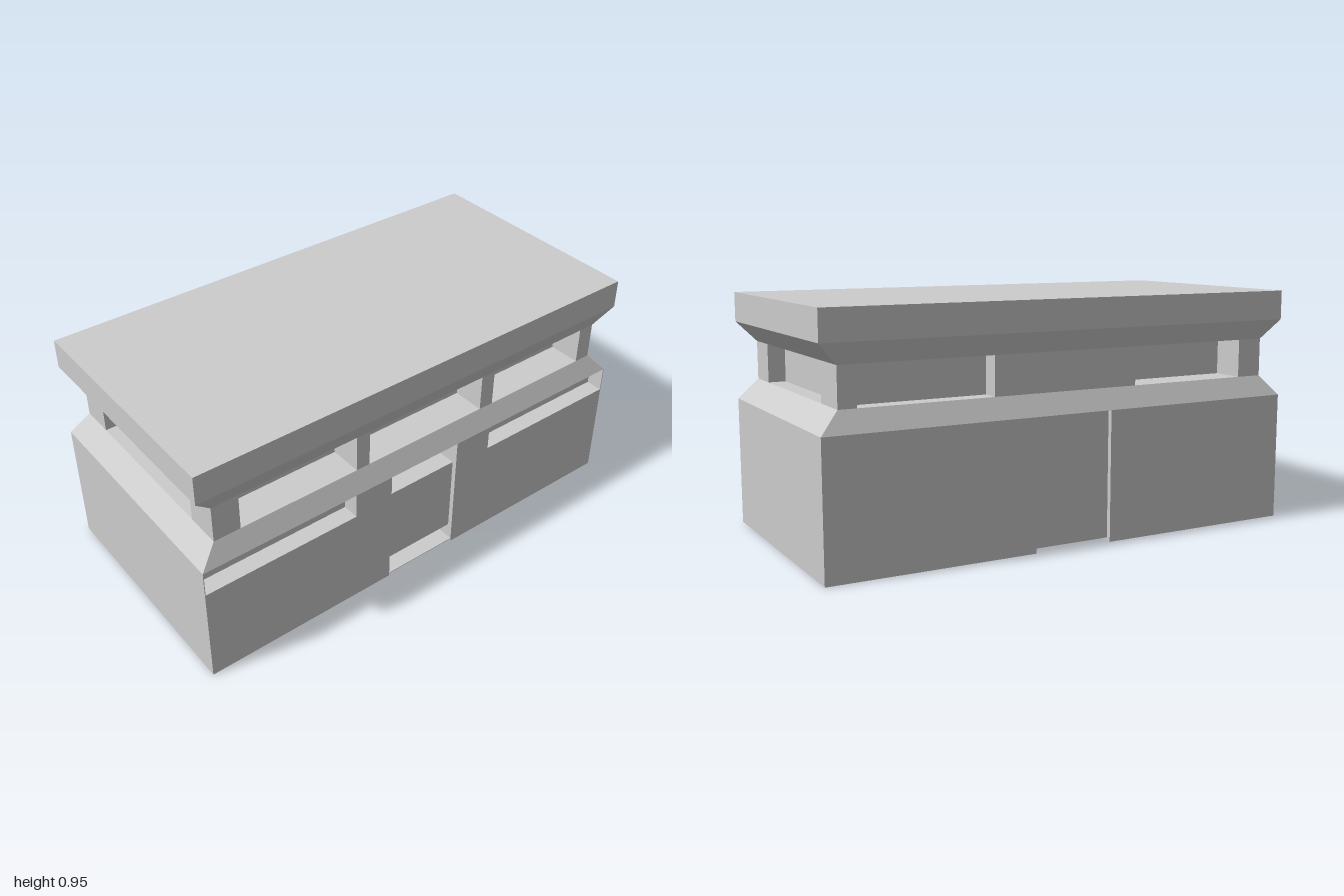
import * as THREE from 'three';

const concrete = new THREE.MeshStandardMaterial({ color: 0xcccccc });
concrete.name = 'concrete';

export function createModel() {
  const model = new THREE.Group();
  model.name = 'bunker';

  // Box between two corners
  function block(name, x0, x1, y0, y1, z0, z1) {
    const mesh = new THREE.Mesh(new THREE.BoxGeometry(x1 - x0, y1 - y0, z1 - z0), concrete);
    mesh.position.set((x0 + x1) / 2, (y0 + y1) / 2, (z0 + z1) / 2);
    mesh.name = name;
    model.add(mesh);
  }

  // Four-sided band whose half sizes differ at bottom and top
  function taper(name, y0, hx0, hz0, y1, hx1, hz1) {
    const geo = new THREE.BoxGeometry(2, 2, 2);
    const p = geo.attributes.position;
    for (let i = 0; i < p.count; i++) {
      const up = p.getY(i) > 0;
      p.setXYZ(i, p.getX(i) * (up ? hx1 : hx0), up ? y1 : y0, p.getZ(i) * (up ? hz1 : hz0));
    }
    const flat = geo.toNonIndexed();
    flat.computeVertexNormals();
    const mesh = new THREE.Mesh(flat, concrete);
    mesh.name = name;
    model.add(mesh);
  }

  const W = 0.495, L = 1, w = 0.457, l = 0.925; // outer and window-band half sizes
  const shoulder = 0.52, sill = 0.602, lintel = 0.755, eave = 0.835, top = 0.953;
  const door = 0.165, slotSill = 0.415, slotEnd = 0.335;

  // Lower halves in front of and behind the doorway, with a slot on the left side
  for (const s of [1, -1]) {
    const part = s > 0 ? 'front' : 'back';
    const span = (a, b) => (s > 0 ? [a, b] : [-b, -a]);
    block(part + 'Base', -W, W, 0, slotSill, ...span(door, L));
    block(part + 'SlotBacking', -W, W - 0.07, slotSill, shoulder, ...span(door, L));
    block(part + 'SlotJamb', W - 0.07, W, slotSill, shoulder, ...span(door, slotEnd));
    block(part + 'SlotEnd', W - 0.07, W, slotSill, shoulder, ...span(L - 0.003, L));
  }

  // Raised middle with the recessed door
  block('middleBase', -W + 0.02, W - 0.135, 0.013, shoulder, -door, door);
  block('doorPanel', W - 0.135, W - 0.02, 0.08, slotSill, -door, door);
  block('doorFloor', W - 0.135, W, 0.012, 0.015, -door, door);

  // Sloping shoulder, eave and roof slab
  taper('shoulder', shoulder, W, L, sill, w, l);
  taper('eave', lintel, w, l, eave, W, L);
  block('roof', -W, W, eave, top, -L, L);

  // Window band: core plus the solid pieces between openings [x0, x1, z0, z1]
  const band = {
    windowCore: [-0.322, 0.322, -0.855, 0.815],
    frontLeftPillar: [0.315, w, 0.815, l],
    frontRightPillar: [-w, -0.32, 0.815, l],
    backLeftPillar: [0.317, w, -l, -0.855],
    backRightPillar: [-w, -0.295, -l, -0.855],
    leftFrontMullion: [0.322, w, 0.245, 0.305],
    leftBackMullion: [0.322, w, -0.375, -0.31],
    rightWall: [-w, -0.322, -0.32, 0.3],
    rightBackWindowBacking: [-0.387, -0.322, -0.855, -0.32],
  };
  for (const [name, [x0, x1, z0, z1]] of Object.entries(band)) {
    block(name, x0, x1, sill, lintel, z0, z1);
  }

  return model;
}
